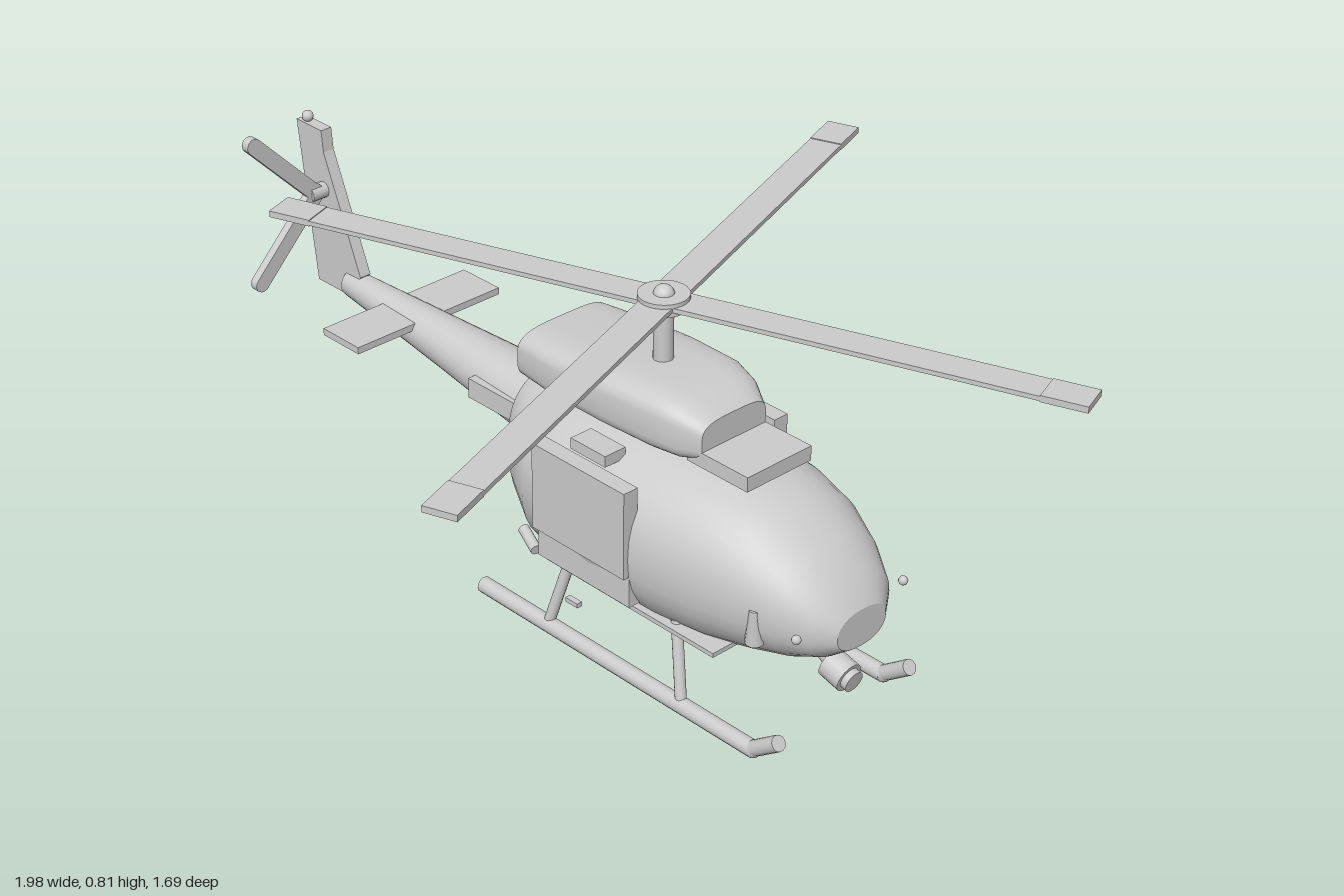
import * as THREE from 'three';

const mat = new THREE.MeshStandardMaterial({ color: 0xcccccc, side: THREE.DoubleSide });

function add(parent, name, geometry, x = 0, y = 0, z = 0) {
  const mesh = new THREE.Mesh(geometry, mat);
  mesh.name = name;
  mesh.position.set(x, y, z);
  parent.add(mesh);
  return mesh;
}

// Box given by its ranges along each axis
function box(parent, name, [x0, x1], [y0, y1], [z0, z1]) {
  return add(parent, name, new THREE.BoxGeometry(x1 - x0, y1 - y0, z1 - z0),
    (x0 + x1) / 2, (y0 + y1) / 2, (z0 + z1) / 2);
}

// Straight rod between two points
function rod(parent, name, a, b, r0, r1 = r0) {
  const p = new THREE.Vector3(...a), q = new THREE.Vector3(...b);
  const mesh = add(parent, name, new THREE.CylinderGeometry(r1, r0, p.distanceTo(q), 14));
  mesh.position.copy(p).add(q).multiplyScalar(0.5);
  mesh.quaternion.setFromUnitVectors(new THREE.Vector3(0, 1, 0), q.sub(p).normalize());
  return mesh;
}

// Skin over superelliptic sections [x, bottom, top, halfWidth] with flat end caps
function loft(sections, power, sides = 36) {
  const pos = [], index = [];
  const ring = ([x, y0, y1, w]) => {
    for (let j = 0; j < sides; j++) {
      const a = (j / sides) * Math.PI * 2, c = Math.cos(a), s = Math.sin(a);
      pos.push(x, (y0 + y1) / 2 + Math.sign(s) * Math.abs(s) ** (2 / power) * (y1 - y0) / 2,
        Math.sign(c) * Math.abs(c) ** (2 / power) * w);
    }
  };
  sections.forEach(ring);
  for (let i = 0; i < sections.length - 1; i++) {
    for (let j = 0; j < sides; j++) {
      const a = i * sides + j, b = i * sides + (j + 1) % sides;
      index.push(a, a + sides, b, b, a + sides, b + sides);
    }
  }
  [sections[0], sections[sections.length - 1]].forEach((s, end) => {
    const base = pos.length / 3;
    ring(s);
    pos.push(s[0], (s[1] + s[2]) / 2, 0);
    for (let j = 0; j < sides; j++) {
      const a = base + j, b = base + (j + 1) % sides;
      index.push(base + sides, end ? b : a, end ? a : b);
    }
  });
  const g = new THREE.BufferGeometry();
  g.setAttribute('position', new THREE.Float32BufferAttribute(pos, 3));
  g.setIndex(index);
  g.computeVertexNormals();
  return g;
}

export function createModel() {
  const model = new THREE.Group();
  model.name = 'helicopter';

  // Cabin, tail boom and engine cover
  add(model, 'fuselage', loft([
    [-0.205, 0.22, 0.475, 0.11], [-0.15, 0.18, 0.49, 0.155], [-0.06, 0.138, 0.498, 0.202],
    [0.02, 0.13, 0.505, 0.215], [0.15, 0.125, 0.51, 0.222], [0.3, 0.122, 0.505, 0.215],
    [0.42, 0.132, 0.495, 0.2], [0.52, 0.155, 0.468, 0.18], [0.6, 0.175, 0.42, 0.15],
    [0.66, 0.2, 0.365, 0.115], [0.695, 0.225, 0.31, 0.068],
  ], 2.25));
  add(model, 'tailBoom', loft([
    [-0.85, 0.39, 0.452, 0.03], [-0.5, 0.347, 0.457, 0.06], [-0.19, 0.305, 0.462, 0.088],
  ], 2, 24));
  add(model, 'engineCover', loft([
    [-0.155, 0.505, 0.615, 0.125], [-0.05, 0.5, 0.624, 0.135], [0.1, 0.5, 0.634, 0.138],
    [0.23, 0.5, 0.638, 0.13], [0.29, 0.5, 0.625, 0.115], [0.34, 0.51, 0.598, 0.088],
  ], 3.6));
  box(model, 'airIntake', [0.3, 0.465], [0.505, 0.538], [-0.088, 0.088]);

  // Fin and stabilizer
  const finShape = new THREE.Shape([[-1, 0.77], [-0.95, 0.395], [-0.85, 0.395], [-0.8, 0.455], [-0.91, 0.72], [-0.915, 0.77]]
    .map(([x, y]) => new THREE.Vector2(x, y)));
  add(model, 'tailFin', new THREE.ExtrudeGeometry(finShape, { depth: 0.028, bevelEnabled: false }), 0, 0, -0.014);
  add(model, 'finLight', new THREE.SphereGeometry(0.013, 12, 8), -0.978, 0.78, 0);
  box(model, 'stabilizer', [-0.7, -0.583], [0.422, 0.438], [-0.198, 0.198]);
  box(model, 'boomBox', [-0.355, -0.19], [0.37, 0.416], [0.06, 0.088]);

  // Tail rotor
  rod(model, 'tailRotorHub', [-0.915, 0.63, 0], [-0.915, 0.63, 0.055], 0.018);
  for (const s of [-1, 1]) {
    const arm = new THREE.Group();
    arm.name = 'tailRotorBlade';
    arm.position.set(-0.915, 0.63, 0.04);
    arm.rotation.x = -s * 0.8;
    box(arm, 'blade', [-0.01, 0.01], [-0.018, 0.018], [-0.02, 0.23]);
    rod(arm, 'bladeTip', [-0.01, 0, 0.23], [0.01, 0, 0.23], 0.018);
    model.add(arm);
  }

  // Main rotor
  const rotor = new THREE.Group();
  rotor.name = 'mainRotor';
  rotor.position.set(0.14, 0.766, 0);
  model.add(rotor);
  rod(rotor, 'mast', [0, -0.15, 0], [0, 0, 0], 0.021);
  for (const y of [-0.009, 0.009]) {
    add(rotor, 'hubPlate', new THREE.CylinderGeometry(0.053, 0.053, 0.01, 28), 0, y, 0);
  }
  add(rotor, 'hubCap', new THREE.SphereGeometry(0.022, 16, 8, 0, Math.PI * 2, 0, Math.PI / 2), 0, 0.01, 0);
  for (let k = 0; k < 4; k++) {
    const blade = new THREE.Group();
    blade.name = 'mainBlade';
    blade.rotation.y = Math.PI / 9 + k * Math.PI / 2;
    box(blade, 'bladeBody', [0.02, 0.79], [-0.005, 0.005], [-0.036, 0.036]);
    box(blade, 'bladeTip', [0.79, 0.885], [-0.007, 0.007], [-0.036, 0.036]);
    rotor.add(blade);
  }

  // Parts found on both sides
  for (const s of [-1, 1]) {
    const z = 0.187 * s;
    rod(model, 'skid', [-0.203, 0.018, z], [0.595, 0.018, z], 0.018);
    rod(model, 'skidToe', [0.592, 0.018, z], [0.662, 0.068, z], 0.017);
    add(model, 'skidBend', new THREE.SphereGeometry(0.018, 14, 10), 0.594, 0.018, z);
    for (const [x0, x1] of [[0, 0.042], [0.393, 0.35]]) {
      rod(model, 'skidStrut', [x0, 0.02, z], [x1, 0.19, 0.16 * s], 0.012);
    }
    const side = (a, b) => (s > 0 ? [a, b] : [-b, -a]);
    box(model, 'cabinStep', [0.0, 0.48], [0.176, 0.186], side(0.12, 0.188));
    box(model, 'cabinDoor', [0, 0.268], [0.272, 0.47], side(0.19, 0.227));
    box(model, 'doorRail', [0.07, 0.17], [0.47, 0.495], side(0.13, 0.185));
    rod(model, 'windowPillar', [0.555, 0.235, 0.15 * s], [0.56, 0.315, 0.158 * s], 0.02, 0.011);
    add(model, 'noseProbe', new THREE.SphereGeometry(0.01, 10, 8), 0.664, 0.293, 0.15 * s);
  }
  box(model, 'lowerDoor', [0, 0.268], [0.2, 0.275], [0.17, 0.212]);
  rod(model, 'rearHandle', [-0.075, 0.215, 0.185], [-0.015, 0.2, 0.205], 0.012);
  box(model, 'sideMarker', [0.12, 0.155], [0.16, 0.17], [0.235, 0.248]);

  // Nose camera
  rod(model, 'cameraMount', [0.58, 0.185, 0], [0.64, 0.143, 0], 0.02);
  rod(model, 'cameraBody', [0.618, 0.148, 0], [0.668, 0.135, 0], 0.033);
  rod(model, 'cameraLens', [0.665, 0.136, 0], [0.682, 0.132, 0], 0.024);
  return model;
}
